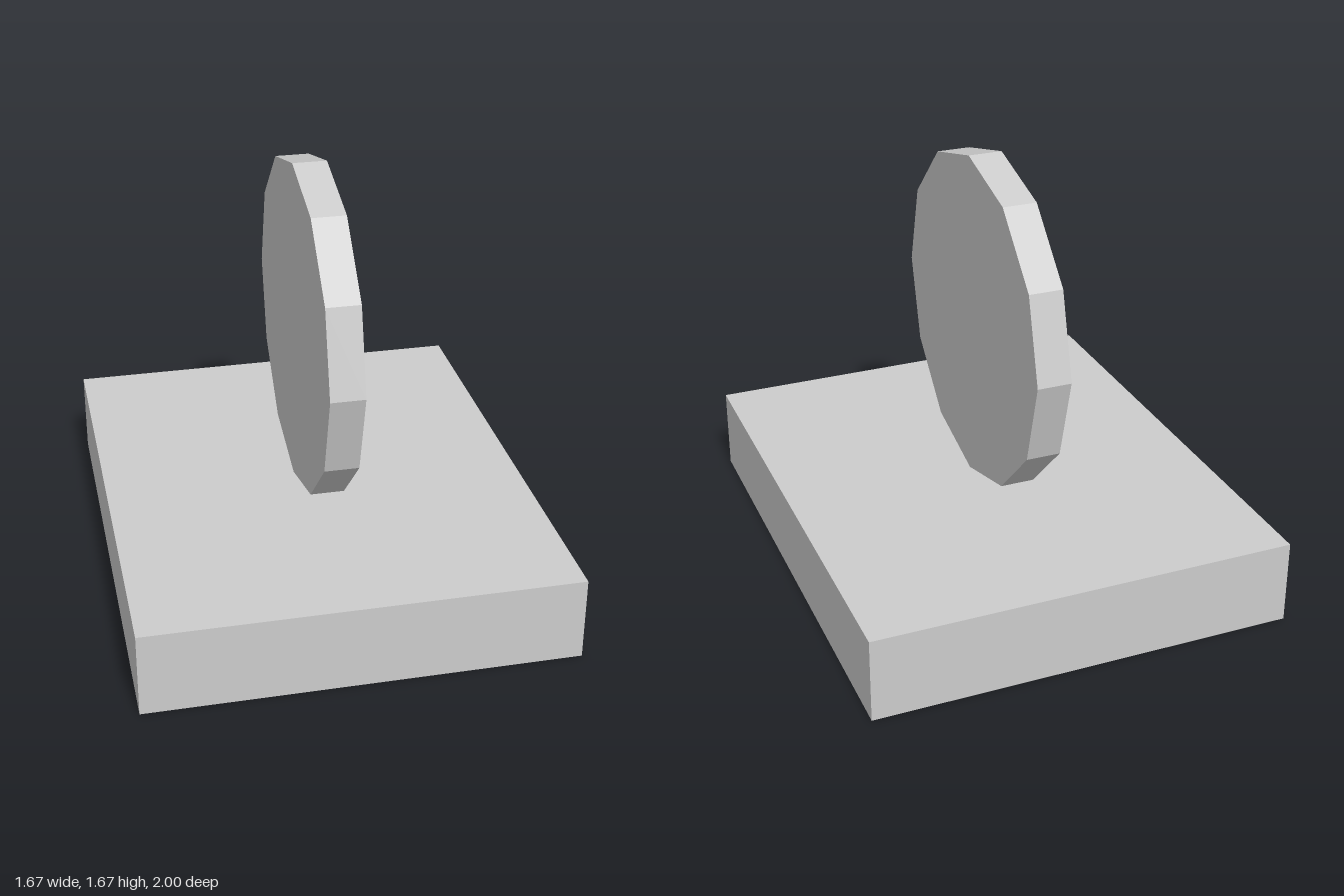
import * as THREE from 'three';

export function createModel() {
  const model = new THREE.Group();
  const grey = new THREE.MeshStandardMaterial({ color: 0xcccccc, flatShading: true });
  grey.name = 'light grey';

  // Rectangular slab, longest from front to back
  const baseHeight = 1 / 3;
  const base = new THREE.Mesh(new THREE.BoxGeometry(5 / 3, baseHeight, 2), grey);
  base.name = 'base';
  base.position.y = baseHeight / 2;
  model.add(base);

  // Twelve-sided disc standing on one corner, its axis along x
  const radius = 2 / 3;
  const disc = new THREE.Mesh(new THREE.CylinderGeometry(radius, radius, 0.1333, 12), grey);
  disc.name = 'disc';
  disc.rotation.z = Math.PI / 2;
  disc.position.y = baseHeight + radius;
  model.add(disc);

  return model;
}
